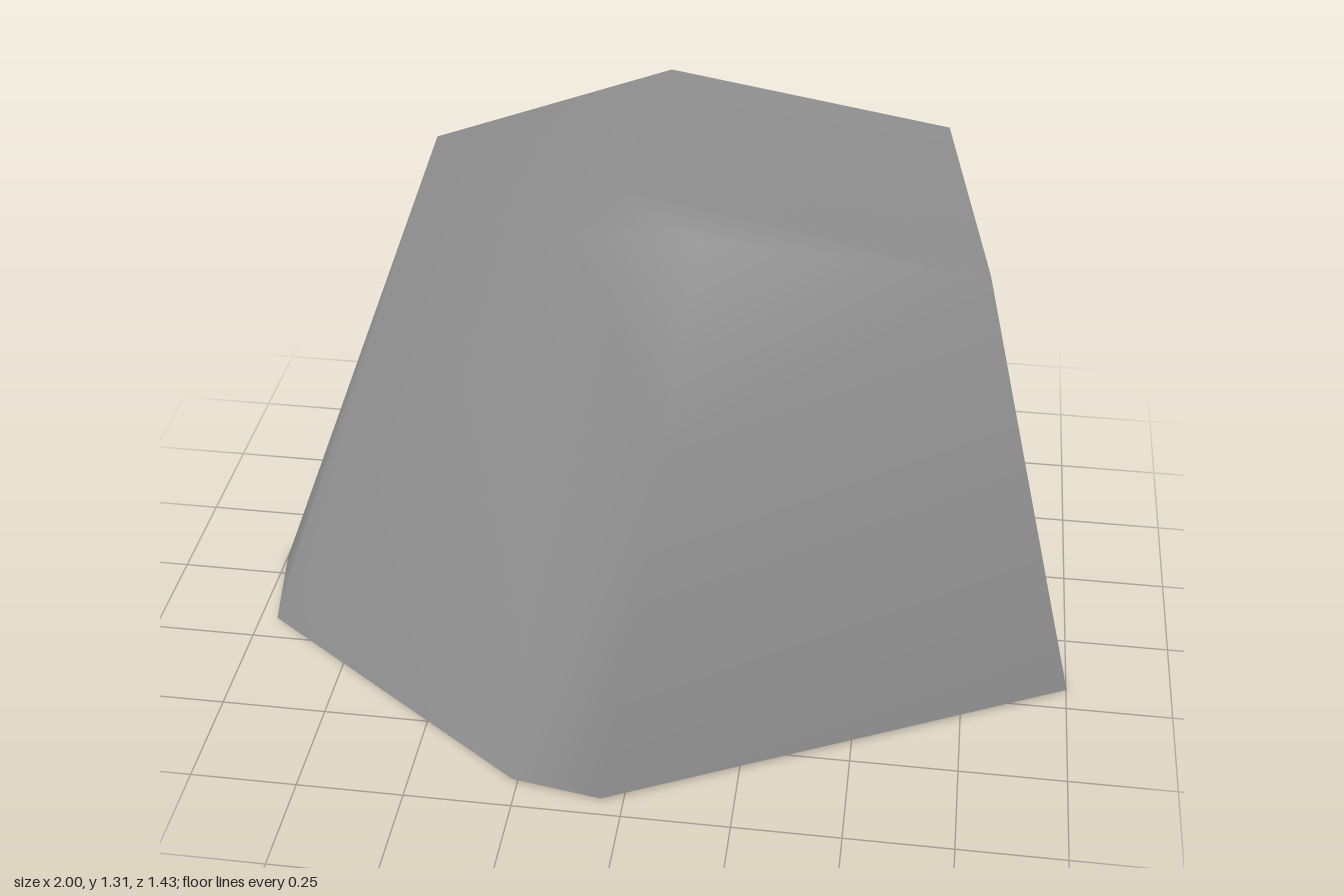
import * as THREE from 'three';

// Corners of the boulder: a foot ring and a broken crown
const P = {
  // foot ring
  footLeftBack: [-1, 0, -0.07], footLeftFront: [-0.95, 0.02, 0.2],
  footFrontA: [-0.26, 0.015, 0.68], footFrontB: [-0.05, 0.015, 0.715],
  footRight: [1, 0.015, 0.2], footRightBack: [0.81, 0.005, -0.33],
  footBack: [0.59, 0.005, -0.72], footBackMid: [-0.26, 0.005, -0.53],
  // crown
  shoulder: [-0.62, 1.07, -0.42], rim: [-0.06, 1.22, -0.56],
  cornerBack: [0.62, 1.16, -0.46], cornerFront: [0.73, 1.12, 0.15],
  peak: [-0.07, 1.31, 0.21], brow: [0.12, 1.3, 0.4], slope: [0.41, 1.21, 0.18],
  notch: [-0.18, 1.17, 0.19], chest: [0.08, 0.9, 0.58],
};

const CORE = new THREE.Vector3(0, 0.5, 0);

// Builds one smooth patch from polygons of named corners, each split as a fan
function patch(name, polygons, material) {
  const names = [...new Set(polygons.flat())];
  const points = names.map((n) => new THREE.Vector3(...P[n]));
  const index = [];
  for (const poly of polygons) {
    const ids = poly.map((n) => names.indexOf(n));
    for (let i = 1; i < ids.length - 1; i++) {
      const tri = [ids[0], ids[i], ids[i + 1]];
      const t = new THREE.Triangle(...tri.map((k) => points[k]));
      const normal = t.getNormal(new THREE.Vector3());
      const outward = t.getMidpoint(new THREE.Vector3()).sub(CORE);
      if (normal.dot(outward) < 0) tri.reverse(); // face away from the core
      index.push(...tri);
    }
  }
  const geometry = new THREE.BufferGeometry().setFromPoints(points);
  geometry.setIndex(index);
  geometry.computeVertexNormals();
  const mesh = new THREE.Mesh(geometry, material);
  mesh.name = name;
  return mesh;
}

export function createModel() {
  // the boulder is a shell, open underneath
  const stone = new THREE.MeshStandardMaterial({ color: 0x929292, side: THREE.DoubleSide });
  stone.name = 'grey stone';

  const boulder = new THREE.Group();
  boulder.name = 'boulder';
  boulder.add(
    // weathered front, left flank and top, rounded into each other
    patch('weatheredFace', [
      ['slope', 'peak', 'rim', 'cornerBack', 'cornerFront', 'brow', 'peak'],
      ['brow', 'cornerFront', 'chest'],
      ['chest', 'cornerFront', 'footRight'],
      ['chest', 'footRight', 'footFrontB'],
      ['chest', 'footFrontB', 'footFrontA'],
      ['notch', 'chest', 'footFrontA'],
      ['notch', 'brow', 'chest'],
      ['peak', 'brow', 'notch'],
      ['notch', 'footFrontA', 'footLeftFront'],
      ['shoulder', 'notch', 'footLeftFront'],
      ['shoulder', 'footLeftFront', 'footLeftBack'],
      ['shoulder', 'rim', 'notch'],
      ['rim', 'peak', 'notch'],
    ], stone),
    // split back
    patch('backFace', [
      ['footBackMid', 'footLeftBack', 'shoulder', 'rim', 'footBack'],
      ['rim', 'cornerBack', 'footBack'],
    ], stone),
    // split right side
    patch('rightFace', [
      ['footRightBack', 'footBack', 'cornerBack', 'cornerFront', 'footRight'],
    ], stone),
  );
  return boulder;
}
